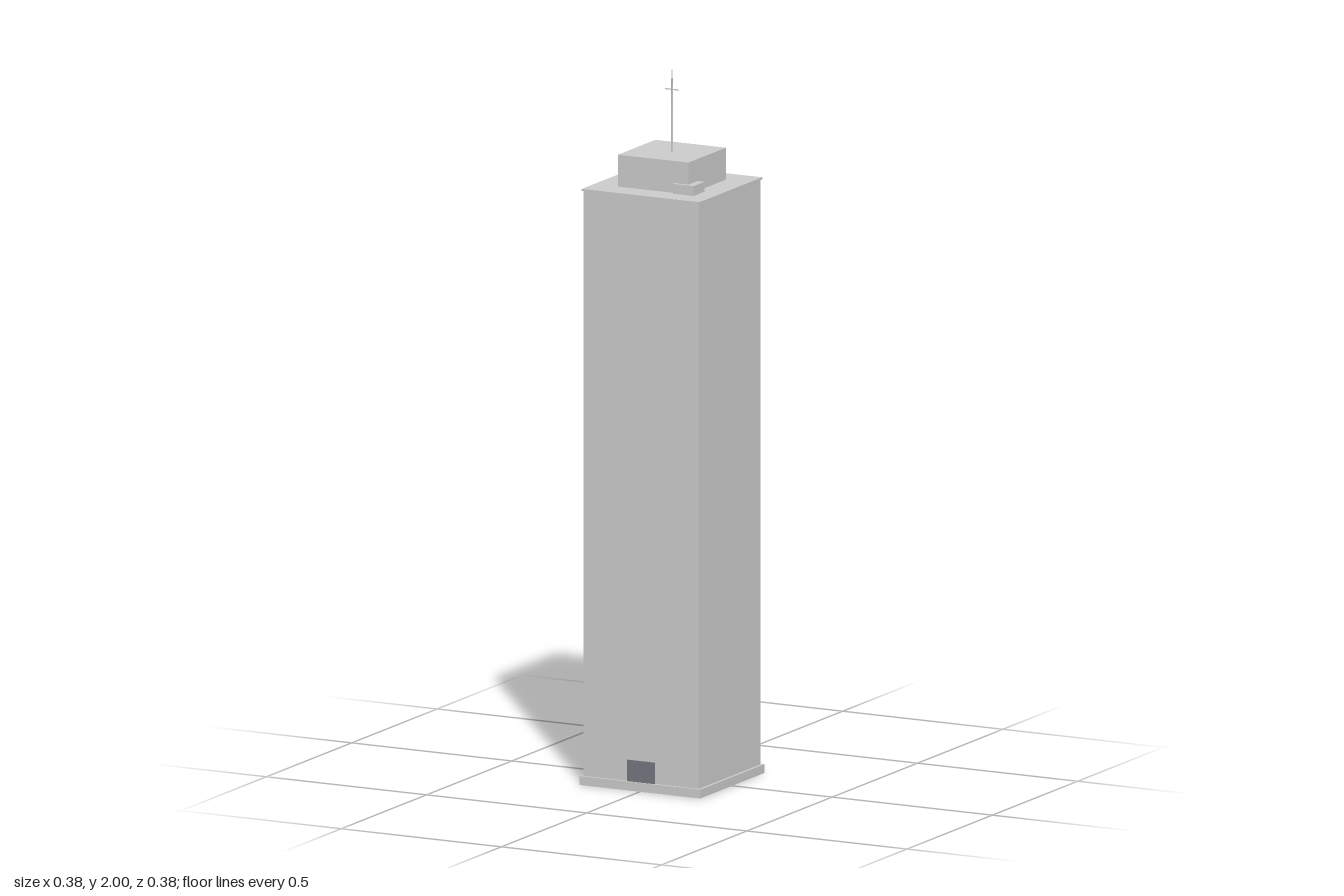
import * as THREE from 'three';

export function createModel() {
  const model = new THREE.Group();
  const grey = new THREE.MeshStandardMaterial({ color: 0xcccccc });
  const dark = new THREE.MeshStandardMaterial({ color: 0x74767f });

  // Adds a box standing on the height y
  function block(name, [w, h, d], [x, y, z], material = grey) {
    const mesh = new THREE.Mesh(new THREE.BoxGeometry(w, h, d), material);
    mesh.name = name;
    mesh.position.set(x, y + h / 2, z);
    model.add(mesh);
  }

  // Plinth, shaft and thin overhanging roof slab
  block('plinth', [0.376, 0.025, 0.376], [0, 0, 0]);
  block('tower', [0.36, 1.65, 0.36], [0, 0.025, 0]);
  block('roofSlab', [0.368, 0.006, 0.368], [0, 1.674, 0]);

  // Entrance on the front
  block('entrance', [0.086, 0.06, 0.008], [0, 0.025, 0.18], dark);

  // Penthouse and rooftop plant
  block('penthouse', [0.22, 0.09, 0.22], [0, 1.68, 0]);
  block('largeRoofUnit', [0.064, 0.028, 0.064], [0.1, 1.68, 0.089]);
  block('smallRoofUnit', [0.046, 0.02, 0.047], [-0.109, 1.68, -0.0735]);

  // Antenna mast with its crossbar
  const mast = new THREE.Mesh(new THREE.CylinderGeometry(0.002, 0.0035, 0.23, 8), grey);
  mast.name = 'mast';
  mast.position.y = 1.885;
  model.add(mast);
  block('mastCrossbar', [0.042, 0.003, 0.003], [0, 1.943, 0]);

  return model;
}
